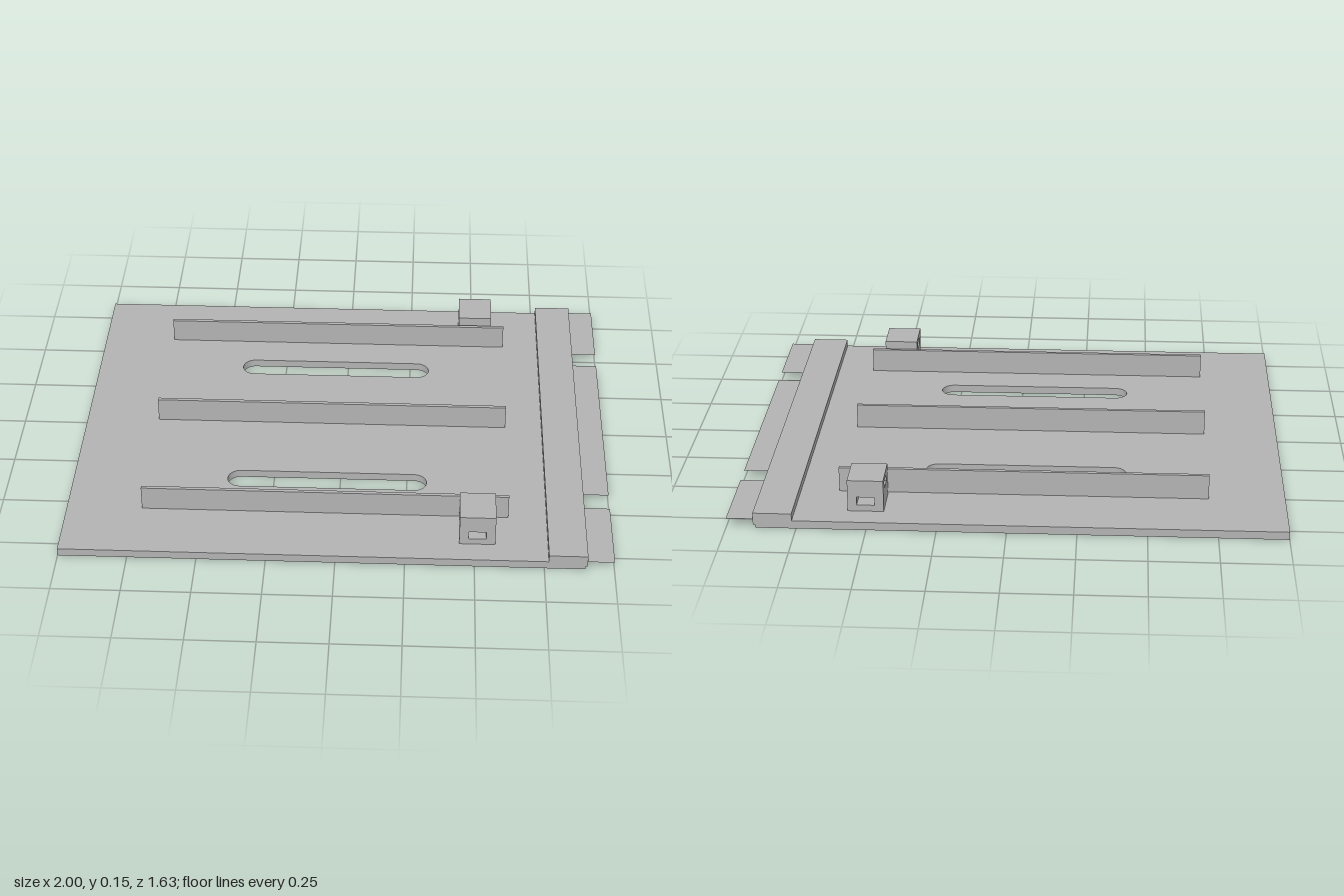
import * as THREE from 'three';

export function createModel() {
  const model = new THREE.Group();
  const grey = new THREE.MeshStandardMaterial({ color: 0xb3b3b3 });
  grey.name = 'plain grey';
  const greySheet = new THREE.MeshStandardMaterial({ color: 0xb3b3b3, side: THREE.DoubleSide });
  greySheet.name = 'plain grey sheet';

  const add = (name, geometry, material = grey) => {
    const mesh = new THREE.Mesh(geometry, material);
    mesh.name = name;
    model.add(mesh);
    return mesh;
  };
  const box = (name, x0, x1, y0, y1, z0, z1) =>
    add(name, new THREE.BoxGeometry(x1 - x0, y1 - y0, z1 - z0))
      .position.set((x0 + x1) / 2, (y0 + y1) / 2, (z0 + z1) / 2);
  const rect = (Type, a0, a1, b0, b1) =>
    new Type([[a0, b0], [a1, b0], [a1, b1], [a0, b1]].map(([a, b]) => new THREE.Vector2(a, b)));
  const extrude = (shape, depth) =>
    new THREE.ExtrudeGeometry(shape, { depth, bevelEnabled: false, curveSegments: 16 });

  const halfZ = 0.815, plateTop = 0.03;

  // Base plate with two rounded slots
  const plate = rect(THREE.Shape, -1, 0.896, -halfZ, halfZ);
  for (const z of [-0.37, 0.37]) {
    const r = 0.048, slot = new THREE.Path();
    slot.absarc(0.324 - r, z, r, -Math.PI / 2, Math.PI / 2);
    slot.absarc(-0.422 + r, z, r, Math.PI / 2, Math.PI * 1.5);
    slot.closePath();
    plate.holes.push(slot);
  }
  add('basePlate', extrude(plate, plateTop).rotateX(-Math.PI / 2));

  // Raised strip, with a lip that hangs over the plate's end
  const strip = new THREE.Shape([
    [0.765, plateTop], [0.896, plateTop], [0.896, 0.012], [0.904, 0.012], [0.904, 0.057], [0.765, 0.057],
  ].map(([x, y]) => new THREE.Vector2(x, y)));
  add('edgeStrip', extrude(strip, halfZ * 2).translate(0, 0, -halfZ));

  // Paper-thin tabs along the strip
  for (const [z0, z1] of [[-halfZ, -0.505], [-0.425, 0.425], [0.505, halfZ]]) {
    add('edgeTab', new THREE.PlaneGeometry(0.096, z1 - z0).rotateX(-Math.PI / 2), greySheet)
      .position.set(0.952, 0.034, (z0 + z1) / 2);
  }

  // Upright rails
  for (const z of [-0.56, 0, 0.56]) box('rail', -0.722, 0.625, plateTop, 0.123, z - 0.007, z + 0.007);

  // Blocks: the lower half is pierced along z, the upper half along x
  for (const side of [-1, 1]) {
    const z0 = side > 0 ? 0.58 : -0.726, z1 = z0 + 0.146;
    const lower = rect(THREE.Shape, 0.445, 0.575, plateTop, 0.094);
    lower.holes.push(rect(THREE.Path, 0.478, 0.542, 0.054, 0.085));
    add('blockLower', extrude(lower, 0.146).translate(0, 0, z0));

    const upper = rect(THREE.Shape, -z1, -z0, 0.094, 0.15);
    upper.holes.push(rect(THREE.Path, -z1 + 0.042, -z0 - 0.038, 0.102, 0.13));
    add('blockUpper', extrude(upper, 0.13).rotateY(Math.PI / 2).translate(0.445, 0, 0));
  }
  return model;
}
